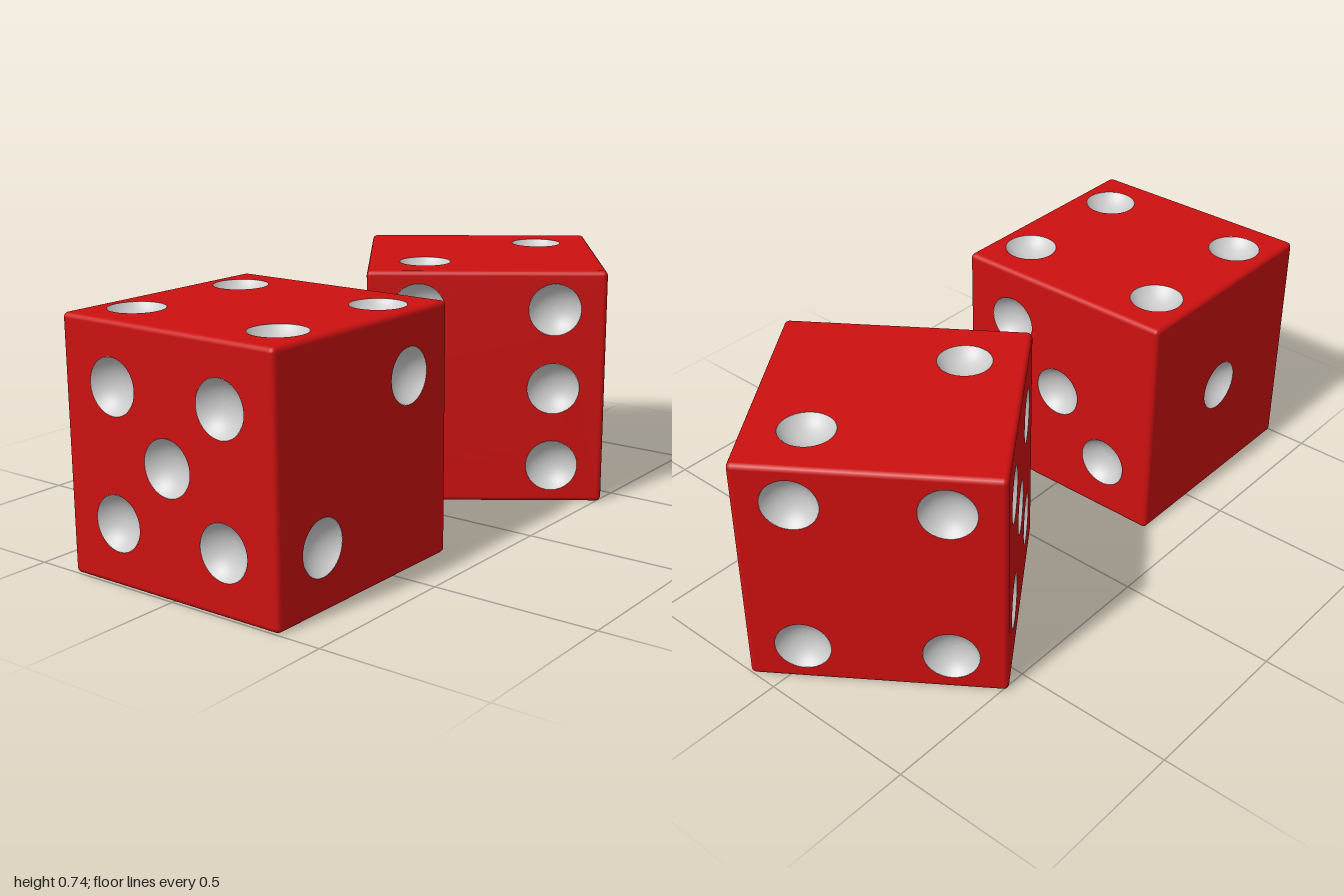
import * as THREE from 'three';
import { RoundedBoxGeometry } from 'three/addons/geometries/RoundedBoxGeometry.js';

const SIZE = 0.74, HALF = SIZE / 2, BEVEL = 0.015;
const PIP_R = 0.081, PIP_DEPTH = 0.045, SEG = 32;

const red = new THREE.MeshStandardMaterial({ color: 0xcc1010 });
const grey = new THREE.MeshStandardMaterial({ color: 0xcccccc, side: THREE.DoubleSide });

// Pip centres on a face, by count
const D = 0.19, U = 0.21, V = 0.25;
const PIPS = {
  1: [[0, 0]],
  2: [[-D, -D], [D, D]],
  3: [[-D, -D], [0, 0], [D, D]],
  4: [[-U, -V], [U, -V], [-U, V], [U, V]],
  5: [[-D, -D], [D, -D], [0, 0], [-D, D], [D, D]],
  6: [[-U, -V], [-U, 0], [-U, V], [U, -V], [U, 0], [U, V]],
};

// Rotation that turns a +z face to each side
const SIDES = {
  front: [0, 0], back: [0, Math.PI],
  left: [0, Math.PI / 2], right: [0, -Math.PI / 2],
  top: [-Math.PI / 2, 0], bottom: [Math.PI / 2, 0],
};

// Rounded edges and corners only: a rounded box without its six flat panels
function edgeGeometry() {
  const box = new RoundedBoxGeometry(SIZE, SIZE, SIZE, 2, BEVEL);
  const p = box.attributes.position, n = box.attributes.normal;
  const pos = [], nor = [];
  for (let i = 0; i < p.count; i += 3) {
    const flat = [0, 1, 2].some((axis) => [0, 1, 2].every(
      (k) => Math.abs(p.getComponent(i + k, axis)) > HALF - 1e-5));
    if (flat) continue;
    for (let k = i; k < i + 3; k++) {
      pos.push(p.getX(k), p.getY(k), p.getZ(k));
      nor.push(n.getX(k), n.getY(k), n.getZ(k));
    }
  }
  const g = new THREE.BufferGeometry();
  g.setAttribute('position', new THREE.Float32BufferAttribute(pos, 3));
  g.setAttribute('normal', new THREE.Float32BufferAttribute(nor, 3));
  return g;
}

// Shallow spherical bowl, opening towards +z
function bowlGeometry() {
  const R = (PIP_R ** 2 + PIP_DEPTH ** 2) / (2 * PIP_DEPTH);
  const rim = Math.asin(PIP_R / R);
  const profile = [];
  for (let i = 0; i <= 8; i++) {
    const a = rim * (1 - i / 8);
    profile.push(new THREE.Vector2(R * Math.sin(a), R - PIP_DEPTH - R * Math.cos(a)));
  }
  return new THREE.LatheGeometry(profile, SEG).rotateX(Math.PI / 2);
}

const edges = edgeGeometry();
const bowl = bowlGeometry();

// One flat face with round openings and a bowl set into each
function makeFace(name, count, flip) {
  const face = new THREE.Group();
  face.name = name + 'Face';
  const centres = PIPS[count].map(([u, v]) => [flip ? -u : u, v]);
  const h = HALF - BEVEL;
  const shape = new THREE.Shape([[-h, -h], [h, -h], [h, h], [-h, h]].map(
    ([x, y]) => new THREE.Vector2(x, y)));
  for (const [u, v] of centres) {
    shape.holes.push(new THREE.Path().absarc(u, v, PIP_R, 0, Math.PI * 2, true));
    const pip = new THREE.Mesh(bowl, grey);
    pip.name = 'pip';
    pip.position.set(u, v, HALF);
    face.add(pip);
  }
  const panel = new THREE.Mesh(new THREE.ShapeGeometry(shape, SEG), red);
  panel.name = 'panel';
  panel.position.z = HALF;
  face.add(panel);
  face.rotation.set(SIDES[name][0], SIDES[name][1], 0);
  return face;
}

// A whole die; sides in "flipped" have their diagonal mirrored
function makeDie(name, counts, flipped, x, turn) {
  const die = new THREE.Group();
  die.name = name;
  const frame = new THREE.Mesh(edges, red);
  frame.name = 'roundedEdges';
  die.add(frame);
  for (const side of Object.keys(SIDES)) {
    die.add(makeFace(side, counts[side], side === flipped));
  }
  die.position.set(x, HALF, 0);
  die.rotation.y = turn;
  return die;
}

export function createModel() {
  const model = new THREE.Group();
  model.name = 'pairOfDice';
  model.add(
    makeDie('straightDie', { front: 2, back: 1, left: 3, right: 5, top: 4, bottom: 6 }, 'left', -0.63, 0),
    makeDie('turnedDie', { front: 3, back: 5, left: 4, right: 6, top: 2, bottom: 1 }, 'top', 0.49, 0.616),
  );
  return model;
}
